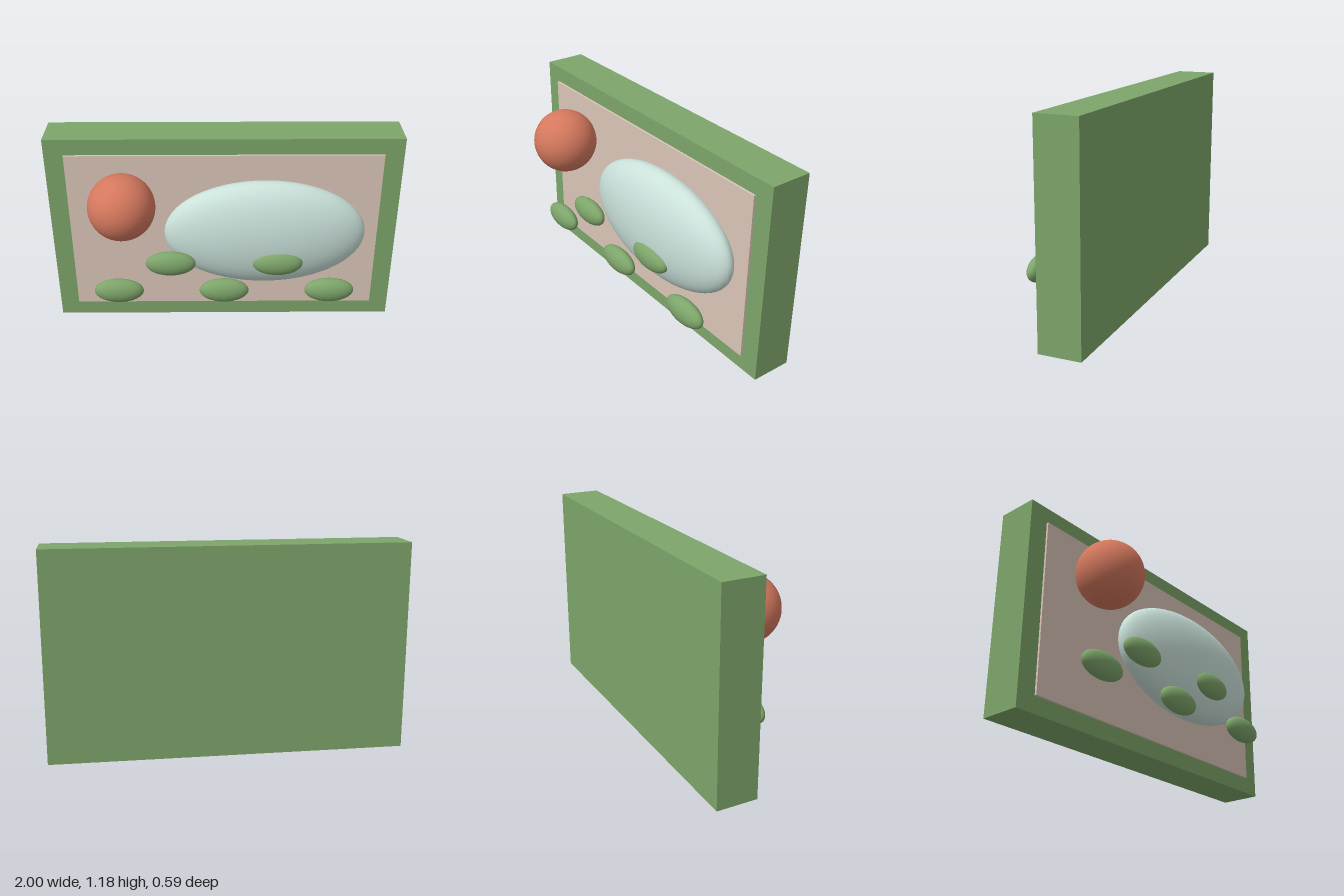
import * as THREE from 'three';

export function createModel() {
  const group = new THREE.Group();
  const mat = (name, color) => {
    const m = new THREE.MeshStandardMaterial({ color });
    m.name = name;
    return m;
  };
  const green = mat('leaf green', 0x7da56a);
  const beige = mat('warm beige', 0xdac5b7);
  const coral = mat('coral red', 0xd4785d);
  const paleBlue = mat('pale blue', 0xcae1da);

  const add = (name, geometry, material, x, y, z) => {
    const mesh = new THREE.Mesh(geometry, material);
    mesh.name = name;
    mesh.position.set(x, y, z);
    group.add(mesh);
  };
  const ellipsoid = (rx, ry, rz) => new THREE.SphereGeometry(1, 48, 32).scale(rx, ry, rz);

  // Thick board with a thin panel on its front
  add('board', new THREE.BoxGeometry(2, 1.178, 0.235), green, 0, 0.589, -0.177);
  add('frontPanel', new THREE.BoxGeometry(1.78, 0.99, 0.02), beige, 0, 0.59, -0.057);

  // Ball and large oval, partly sunk into the board
  add('ball', ellipsoid(0.187, 0.187, 0.187), coral, -0.567, 0.85, 0.109);
  add('largeOval', ellipsoid(0.578, 0.327, 0.15), paleBlue, 0.233, 0.615, -0.01);

  // Five small ovals in two staggered rows
  const small = ellipsoid(0.143, 0.075, 0.053);
  for (let i = 0; i < 5; i++) {
    add('smallOval' + (i + 1), small, green, -0.614 + i * 0.306, i % 2 ? 0.484 : 0.297, 0.119);
  }
  return group;
}
